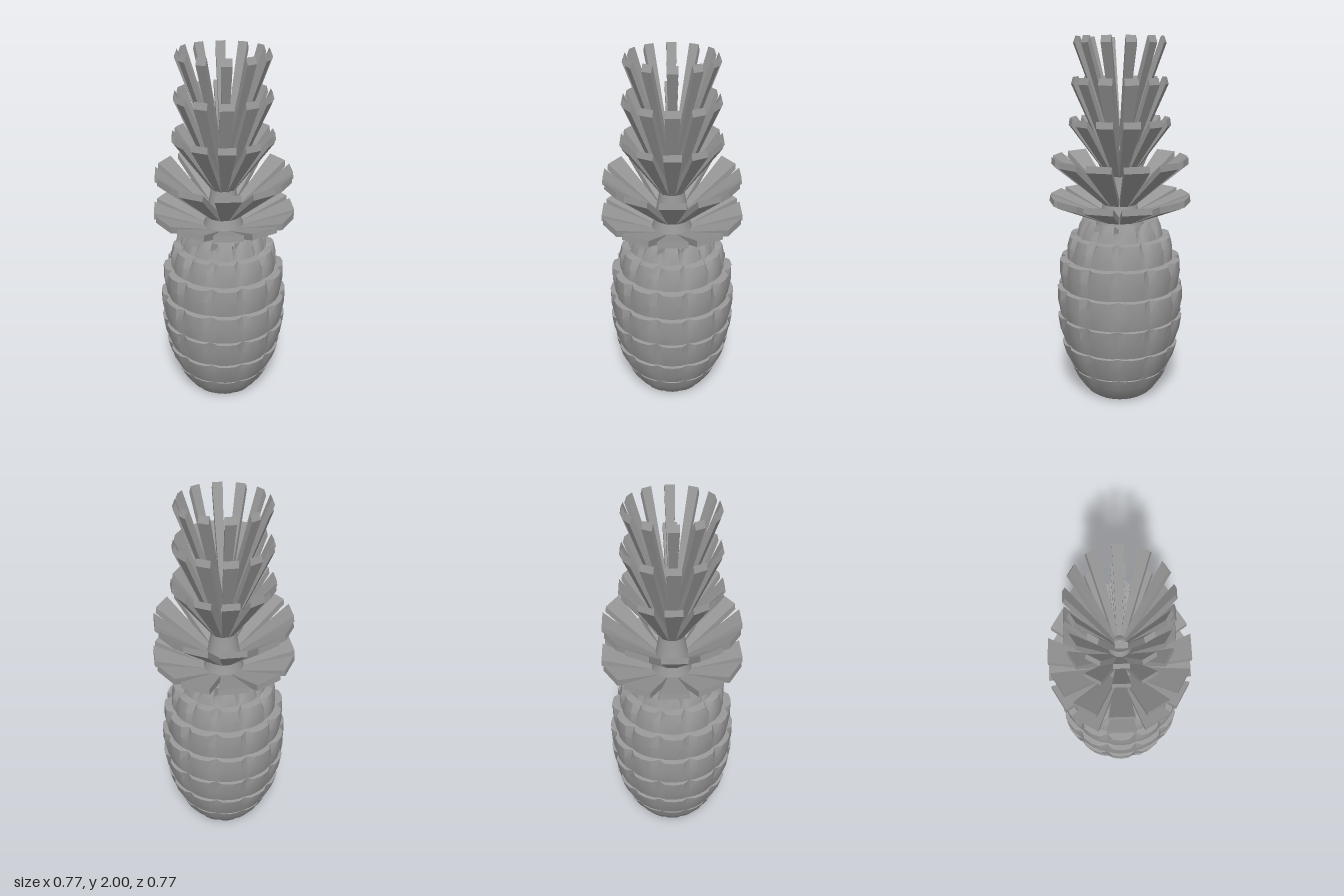
import * as THREE from 'three';
import { toCreasedNormals } from 'three/addons/utils/BufferGeometryUtils.js';

const COUNT = 12; // scales and leaves per ring
const STEP = (Math.PI * 2) / COUNT;

// Angular samples across one scale: valley, shoulder, centre, shoulder
const SAMPLES = [
  [0, 1], [0.22, 0.12], [0.5, 0], [0.78, 0.12],
];

// Closed skin through rings of { y, r, dip, drop }; dip pulls the valleys in, drop lowers them
function skin(rings) {
  const pos = [], index = [];
  const n = COUNT * SAMPLES.length;
  for (const { y, r, dip = 0, drop = 0 } of rings) {
    for (let i = 0; i < n; i++) {
      const [t, valley] = SAMPLES[i % SAMPLES.length];
      const a = (Math.floor(i / SAMPLES.length) + t) * STEP;
      const rad = r - dip * valley;
      pos.push(Math.sin(a) * rad, y - drop * valley, Math.cos(a) * rad);
    }
  }
  for (let k = 0; k < rings.length - 1; k++) {
    for (let i = 0; i < n; i++) {
      const a = k * n + i, b = k * n + ((i + 1) % n);
      index.push(a, b, b + n, a, b + n, a + n);
    }
  }
  const g = new THREE.BufferGeometry();
  g.setAttribute('position', new THREE.Float32BufferAttribute(pos, 3));
  g.setIndex(index);
  return toCreasedNormals(g, 0.6);
}

// Leaf wedge pointing along +z, widening from its root to a blunt tip
function leafGeometry({ r, top, width, rootY, rootTop, lean }) {
  const g = new THREE.BoxGeometry(1, 1, 1);
  const p = g.attributes.position;
  for (let i = 0; i < p.count; i++) {
    const tip = p.getZ(i) > 0, upper = p.getY(i) > 0;
    const side = Math.sign(p.getX(i));
    const w = tip ? width : 0.025;
    const y = tip ? (upper ? top : top - 0.035) : (upper ? rootTop : rootY);
    const z = tip ? (upper ? r - lean : r) : 0.03;
    p.setXYZ(i, (side * w) / 2, y, z);
  }
  g.computeVertexNormals();
  return g;
}

export function createModel() {
  const model = new THREE.Group();
  model.name = 'pineapple';
  const grey = new THREE.MeshStandardMaterial({ color: 0x999999 });
  grey.name = 'grey';

  // Fruit: dimpled base, then rows of scales [bottom y, bottom r, lip y, lip r, valley dip, valley drop]
  const rows = [
    [0.02, 0.2, 0.16, 0.28, 0.012, 0],
    [0.16, 0.275, 0.31, 0.333, 0.02, 0],
    [0.31, 0.316, 0.475, 0.357, 0.026, 0],
    [0.475, 0.338, 0.64, 0.357, 0.03, 0],
    [0.64, 0.327, 0.8, 0.34, 0.035, 0],
    [0.8, 0.296, 0.93, 0.283, 0.04, 0.01],
    [0.93, 0.24, 1.03, 0.21, 0.05, 0.06],
  ];
  const rings = [{ y: 0.025, r: 0.001 }, { y: 0.004, r: 0.09 }, { y: 0, r: 0.17 }];
  for (const [y0, r0, y1, r1, dip, drop] of rows) {
    rings.push({ y: y0 + 0.003, r: r0, dip: 0.006 });
    rings.push({ y: y0 + (y1 - y0) * 0.55, r: r0 + (r1 - r0) * 0.55 + 0.007, dip: dip * 0.45 });
    rings.push({ y: y1, r: r1, dip, drop });
  }
  rings.push({ y: 0.985, r: 0.14 }, { y: 1.0, r: 0.001 });
  const fruit = new THREE.Mesh(skin(rings), grey);
  fruit.name = 'fruit';
  model.add(fruit);

  // Core that the leaves grow from
  const profile = [[0.14, 0.97], [0.1, 1.08], [0.07, 1.25], [0.06, 1.4], [0.04, 1.45], [0, 1.47]];
  const core = new THREE.Mesh(
    new THREE.LatheGeometry(profile.map(([x, y]) => new THREE.Vector2(x, y)), 24), grey);
  core.name = 'crownCore';
  model.add(core);

  // Crown: five tiers of leaves, steeper and narrower towards the top
  const tiers = [
    { r: 0.38, top: 1.155, width: 0.157, rootY: 0.975, rootTop: 1.02, lean: 0.002 },
    { r: 0.368, top: 1.365, width: 0.135, rootY: 1.05, rootTop: 1.1, lean: 0.003 },
    { r: 0.272, top: 1.575, width: 0.09, rootY: 1.21, rootTop: 1.28, lean: 0.006 },
    { r: 0.257, top: 1.79, width: 0.074, rootY: 1.24, rootTop: 1.33, lean: 0.01 },
    { r: 0.245, top: 2.0, width: 0.054, rootY: 1.38, rootTop: 1.46, lean: 0.014 },
  ];
  tiers.forEach((tier, k) => {
    const ring = new THREE.Group();
    ring.name = `leafTier${k + 1}`;
    const geometry = leafGeometry(tier);
    for (let i = 0; i < COUNT; i++) {
      const leaf = new THREE.Mesh(geometry, grey);
      leaf.name = 'leaf';
      leaf.rotation.y = (i + 0.5) * STEP;
      ring.add(leaf);
    }
    model.add(ring);
  });
  return model;
}
